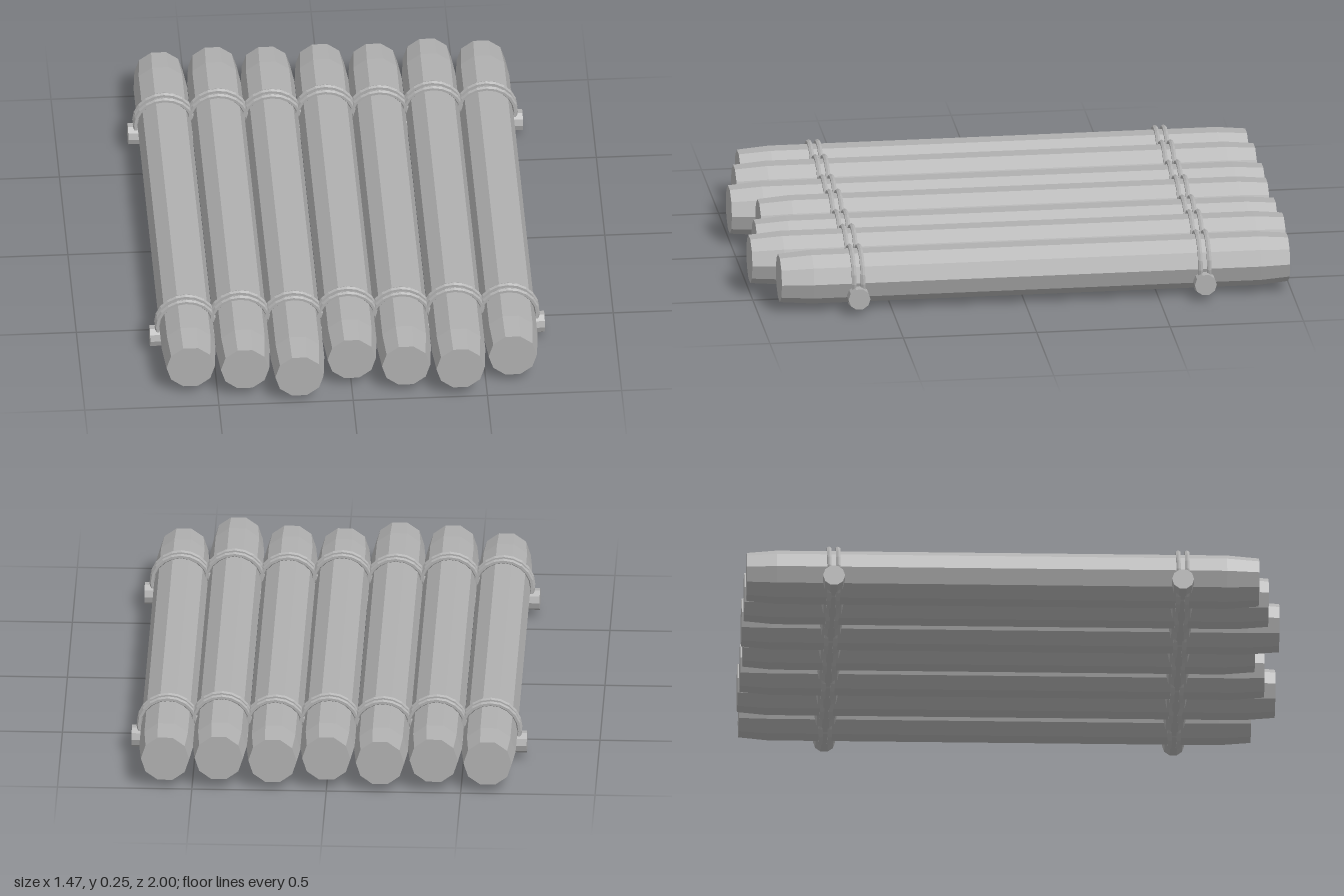
import * as THREE from 'three';

export function createModel() {
  const raft = new THREE.Group();
  raft.name = 'raft';
  const wood = new THREE.MeshStandardMaterial({ color: 0xb0b0b0, flatShading: true });
  wood.name = 'grey wood';

  const add = (name, geometry, x, y, z) => {
    const mesh = new THREE.Mesh(geometry, wood);
    mesh.name = name;
    mesh.position.set(x, y, z);
    raft.add(mesh);
  };

  // ten-sided log along z, tapered at both ends
  const logGeometry = (back, front) => {
    const profile = [
      [0, back], [0.09, back], [0.1, back + 0.11],
      [0.1, front - 0.12], [0.09, front], [0, front],
    ].map(([r, z]) => new THREE.Vector2(r, z));
    return new THREE.LatheGeometry(profile, 10, Math.PI / 2).rotateX(Math.PI / 2);
  };

  const frontEnds = [0.915, 0.955, 1];
  const backEnds = [-0.99, -0.995, -1];
  const poleZ = [0.63, -0.668];
  const ropeGeometry = new THREE.TorusGeometry(0.108, 0.0095, 6, 20);

  for (let i = 0; i < 7; i++) {
    const x = (i - 3) * 0.2;
    const y = i % 2 ? 0.133 : 0.1225; // every other log sits slightly higher
    add('log', logGeometry(backEnds[i % 3], frontEnds[i % 3]), x, y, 0);
    // a pair of rope loops around the log at each cross pole
    for (const z of poleZ) {
      for (const side of [-1, 1]) add('ropeLoop', ropeGeometry, x, y, z + side * 0.0165);
    }
  }

  // cross poles under the logs
  const poleGeometry = new THREE.CylinderGeometry(0.041, 0.041, 1.47, 10).rotateZ(Math.PI / 2);
  for (const z of poleZ) add('crossPole', poleGeometry, 0, 0.071, z);

  return raft;
}
